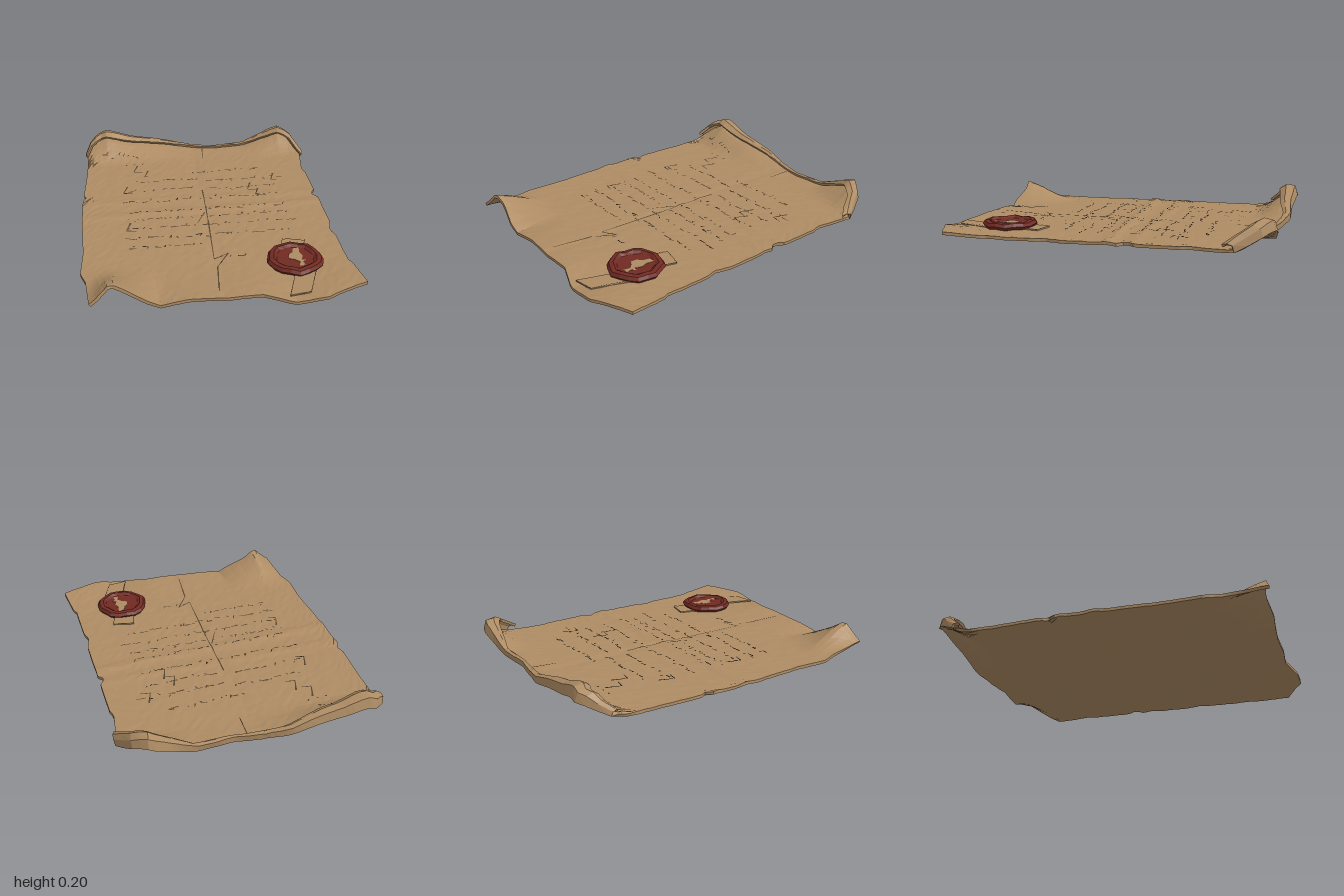
import * as THREE from 'three';

// piecewise-linear lookup through [key, value] pairs
function lookup(table, t) {
  if (t <= table[0][0]) return table[0][1];
  for (let i = 1; i < table.length; i++) {
    const [k0, v0] = table[i - 1], [k1, v1] = table[i];
    if (t <= k1) return v0 + (v1 - v0) * (t - k0) / (k1 - k0);
  }
  return table[table.length - 1][1];
}
function makeRandom(seed) {
  let s = seed;
  return () => (s = (s * 16807) % 2147483647) / 2147483647;
}
const lerp = THREE.MathUtils.lerp, smooth = THREE.MathUtils.smoothstep;

// torn outline of the sheet
const FRONT = [[-0.76, 0.94], [-0.68, 0.92], [-0.58, 0.9], [-0.45, 0.93], [-0.2, 0.92], [0, 0.935], [0.17, 0.93], [0.33, 0.99], [0.52, 0.995], [0.62, 0.95], [0.77, 0.89]];
const BACK = [[-0.76, -0.86], [-0.74, -0.93], [-0.67, -1], [-0.4, -0.98], [-0.17, -0.99], [0, -0.955], [0.15, -0.93], [0.4, -0.95], [0.62, -0.965], [0.7, -0.9], [0.77, -0.76]];
const LEFT = [[-0.9, -0.74], [-0.6, -0.75], [-0.31, -0.77], [-0.28, -0.735], [-0.25, -0.775], [0, -0.78], [0.4, -0.77], [0.6, -0.785], [0.69, -0.755], [0.94, -0.735]];
const RIGHT = [[-0.75, 0.77], [-0.52, 0.735], [-0.48, 0.75], [-0.21, 0.75], [-0.17, 0.71], [-0.13, 0.75], [0.2, 0.75], [0.3, 0.725], [0.36, 0.745], [0.64, 0.745], [0.67, 0.76], [0.9, 0.785]];
// lift of the front and back borders
const FRONT_LIFT = [[-0.76, 0.02], [-0.72, 0.04], [-0.62, 0.14], [-0.5, 0.06], [-0.36, -0.016], [-0.2, 0.006], [0.2, 0.012], [0.38, -0.012], [0.52, 0.01], [0.66, 0.02], [0.78, 0.02]];
const BACK_LIFT = [[-0.76, 0.03], [-0.7, 0.08], [-0.6, 0.11], [-0.45, 0.075], [-0.33, 0.06], [-0.1, 0.02], [0.1, 0.006], [0.38, 0.012], [0.52, 0.06], [0.64, 0.1], [0.74, 0.085], [0.77, 0.06]];

function sheetHeight(x, z) {
  let y = 0.038;
  y += 0.009 * Math.max(0, 1 - Math.abs(z + 0.04 + x * 0.04) / 0.05);   // cross fold
  y += 0.006 * Math.max(0, 1 - Math.abs(z + 0.2) / 0.05);
  y -= 0.004 * Math.max(0, 1 - Math.abs(x) / 0.05);                    // long fold
  y += lookup(FRONT_LIFT, x) * Math.pow(smooth(z, 0.52, 0.95), 1.3);
  y += lookup(BACK_LIFT, x) * smooth(-z, 0.74, 0.97);
  return y;
}

// closed sheet: top grid with a rolled back lip, underside and torn edge
function sheetGeometry() {
  const nu = 44, nv = 52, lip = 3, rows = nv + 1 + lip, cols = nu + 1;
  const rand = makeRandom(71), p = [], index = [], quads = [];
  for (let j = 0; j < rows; j++) {
    for (let i = 0; i <= nu; i++) {
      const u = i / nu, v = Math.max(0, j - lip) / nv, x0 = lerp(-0.77, 0.77, u);
      let z = lerp(lookup(BACK, x0), lookup(FRONT, x0), v);
      const x = lerp(lookup(LEFT, z), lookup(RIGHT, z), u);
      let y = sheetHeight(x, z) + (rand() - 0.5) * 0.003;
      if (j < lip) {
        const a = lookup(BACK_LIFT, x0), k = lip - j;
        y += a * [0, 0.36, 0.42, 0.22][k];
        z += (0.01 + a) * [0, 0.12, 0.45, 0.75][k];
      }
      p.push(x, y, z);
    }
  }
  const count = rows * cols;
  for (let j = 0; j < rows - 1; j++) for (let i = 0; i < nu; i++) {
    const a = j * cols + i, b = a + cols;
    quads.push(a, b, a + 1, a + 1, b, b + 1);
  }
  const top = new THREE.BufferGeometry();
  top.setAttribute('position', new THREE.Float32BufferAttribute(p, 3));
  top.setIndex(quads);
  top.computeVertexNormals();
  const n = top.attributes.normal.array;
  const all = p.concat(p.map((c, k) => c - n[k] * 0.018));
  for (let k = 0; k < quads.length; k += 3) {
    index.push(quads[k], quads[k + 1], quads[k + 2]);
    index.push(count + quads[k], count + quads[k + 2], count + quads[k + 1]);
  }
  const loop = [];
  for (let j = 0; j < rows - 1; j++) loop.push(j * cols);
  for (let i = 0; i < nu; i++) loop.push((rows - 1) * cols + i);
  for (let j = rows - 1; j > 0; j--) loop.push(j * cols + nu);
  for (let i = nu; i > 0; i--) loop.push(i);
  loop.forEach((a, k) => {
    const b = loop[(k + 1) % loop.length];
    index.push(b, a, a + count, b, a + count, b + count);
  });
  const g = new THREE.BufferGeometry();
  g.setAttribute('position', new THREE.Float32BufferAttribute(all, 3));
  g.setIndex(index);
  const flat = g.toNonIndexed();
  flat.computeVertexNormals();
  return flat;
}

// tapered pen strokes draped on the sheet; each is [x0, z0, x1, z1, width]
function strokesGeometry(strokes) {
  const p = [];
  for (const [x0, z0, x1, z1, w] of strokes) {
    const len = Math.hypot(x1 - x0, z1 - z0), steps = Math.max(1, Math.ceil(len / 0.04));
    const nx = -(z1 - z0) / len * w / 2, nz = (x1 - x0) / len * w / 2;
    const at = (t, s) => {
      const x = lerp(x0, x1, t) + nx * s * (1 - t * 0.6), z = lerp(z0, z1, t) + nz * s * (1 - t * 0.6);
      return [x, sheetHeight(x, z) + 0.004, z];
    };
    for (let k = 0; k < steps; k++) {
      const a = at(k / steps, -1), b = at(k / steps, 1), c = at((k + 1) / steps, -1), d = at((k + 1) / steps, 1);
      p.push(...a, ...b, ...c, ...c, ...b, ...d);
    }
  }
  const g = new THREE.BufferGeometry();
  g.setAttribute('position', new THREE.Float32BufferAttribute(p, 3));
  g.computeVertexNormals();
  return g;
}

// thin plate lying flat, from [x, z] corners
function plateGeometry(points, depth) {
  const shape = new THREE.Shape(points.map(([x, z]) => new THREE.Vector2(x, -z)));
  return new THREE.ExtrudeGeometry(shape, { depth, bevelEnabled: false }).rotateX(-Math.PI / 2);
}

export function createModel() {
  const group = new THREE.Group();
  const paper = new THREE.MeshStandardMaterial({ color: 0xae8c64 });
  const ink = new THREE.MeshStandardMaterial({ color: 0x54422e, side: THREE.DoubleSide });
  const wax = new THREE.MeshStandardMaterial({ color: 0x702a22 });
  paper.name = 'parchment'; ink.name = 'brown ink'; wax.name = 'red wax';
  const add = (name, geometry, material) => {
    const mesh = new THREE.Mesh(geometry, material);
    mesh.name = name;
    group.add(mesh);
    return mesh;
  };

  add('parchmentSheet', sheetGeometry(), paper);

  // rows of abstract scribbles: [x start, x end, z]
  const rand = makeRandom(1234), strokes = [];
  const lines = [[-0.64, -0.4, -0.82], [-0.48, -0.36, -0.72], [-0.03, 0.45, -0.56], [-0.42, 0.0, -0.46], [0.05, 0.55, -0.43],
    [-0.48, -0.05, -0.33], [0.06, 0.52, -0.31], [-0.52, 0.52, -0.18], [-0.48, 0.54, -0.04], [-0.5, 0.5, 0.05],
    [-0.5, 0.52, 0.15], [-0.52, 0.48, 0.27], [-0.5, -0.04, 0.37], [0.02, 0.2, 0.53]];
  for (const [a, b, z] of lines) {
    for (let x = a; x < b; x += 0.022 + rand() * 0.045) {
      const zz = z + (rand() - 0.5) * 0.03, long = rand() < 0.4;
      const dx = long ? 0.03 + rand() * 0.03 : 0.012, dz = (rand() - 0.6) * (long ? 0.02 : 0.05);
      strokes.push([x, zz, x + dx, zz + dz, 0.007 + rand() * 0.006]);
    }
  }
  // tall flourishes
  for (const [x, z] of [[-0.4, -0.7], [-0.33, -0.62], [-0.48, -0.4], [0.34, -0.36], [-0.48, 0.08], [0.38, -0.28], [0.52, -0.48]])
    strokes.push([x, z, x - 0.03, z + 0.09, 0.011], [x - 0.03, z + 0.09, x + 0.03, z + 0.1, 0.009]);
  add('writing', strokesGeometry(strokes), ink);

  // cracked fold down the middle
  const crack = [[0.01, -0.3], [0.005, -0.08], [0, 0.1], [-0.02, 0.54], [0.07, 0.49], [-0.01, 0.62], [-0.035, 0.87]];
  const cracks = crack.slice(1).map((q, i) => [...crack[i], ...q, 0.009]);
  cracks.push([0.08, -0.92, 0.07, -0.76, 0.007], [-0.01, 0, -0.07, 0.13, 0.007]);
  add('foldCrack', strokesGeometry(cracks), ink);

  // ribbon tails under the seal
  const tails = [
    [[0.41, 0.38], [0.54, 0.41], [0.51, 0.5], [0.38, 0.5]],
    [[0.42, 0.72], [0.54, 0.72], [0.46, 0.93], [0.34, 0.95]]];
  tails.forEach((points, i) => {
    add(i ? 'lowerRibbon' : 'upperRibbon', plateGeometry(points, 0.009), paper).position.y = 0.037;
    const edges = points.map((q, k) => [...q, ...points[(k + 1) % 4], 0.004]);
    add('ribbonEdge', strokesGeometry(edges), ink).position.y = 0.006;
  });

  // wax seal with an uneven raised rim
  const profile = [[0.15, 0], [0.163, 0.018], [0.15, 0.037], [0.125, 0.041], [0.106, 0.028], [0, 0.026]];
  let seal = new THREE.LatheGeometry(profile.map(([r, y]) => new THREE.Vector2(r, y)), 18);
  const pos = seal.attributes.position;
  for (let i = 0; i < pos.count; i++) {
    const x = pos.getX(i), z = pos.getZ(i), a = Math.atan2(z, x);
    const k = 1 + 0.025 * Math.sin(5 * a) + 0.02 * Math.cos(8 * a + 1);
    const rim = Math.hypot(x, z) > 0.11 ? 0.004 * Math.sin(7 * a) : 0;
    pos.setXYZ(i, x * k, pos.getY(i) + rim, z * k);
  }
  seal = seal.toNonIndexed();
  seal.computeVertexNormals();
  add('waxSeal', seal, wax).position.set(0.435, 0.04, 0.62);

  // bare worn patch in the middle of the seal
  const patch = [[0.44, 0.53], [0.478, 0.52], [0.47, 0.57], [0.482, 0.61], [0.468, 0.65], [0.492, 0.655], [0.472, 0.675],
    [0.48, 0.71], [0.445, 0.71], [0.455, 0.67], [0.43, 0.645], [0.4, 0.63], [0.405, 0.59], [0.43, 0.57]];
  add('wornPatch', plateGeometry(patch, 0.003), paper).position.y = 0.066;

  // rest the lowest point on the ground
  const low = new THREE.Box3().setFromObject(group).min.y;
  group.children.forEach((m) => { m.position.y -= low; });
  return group;
}
